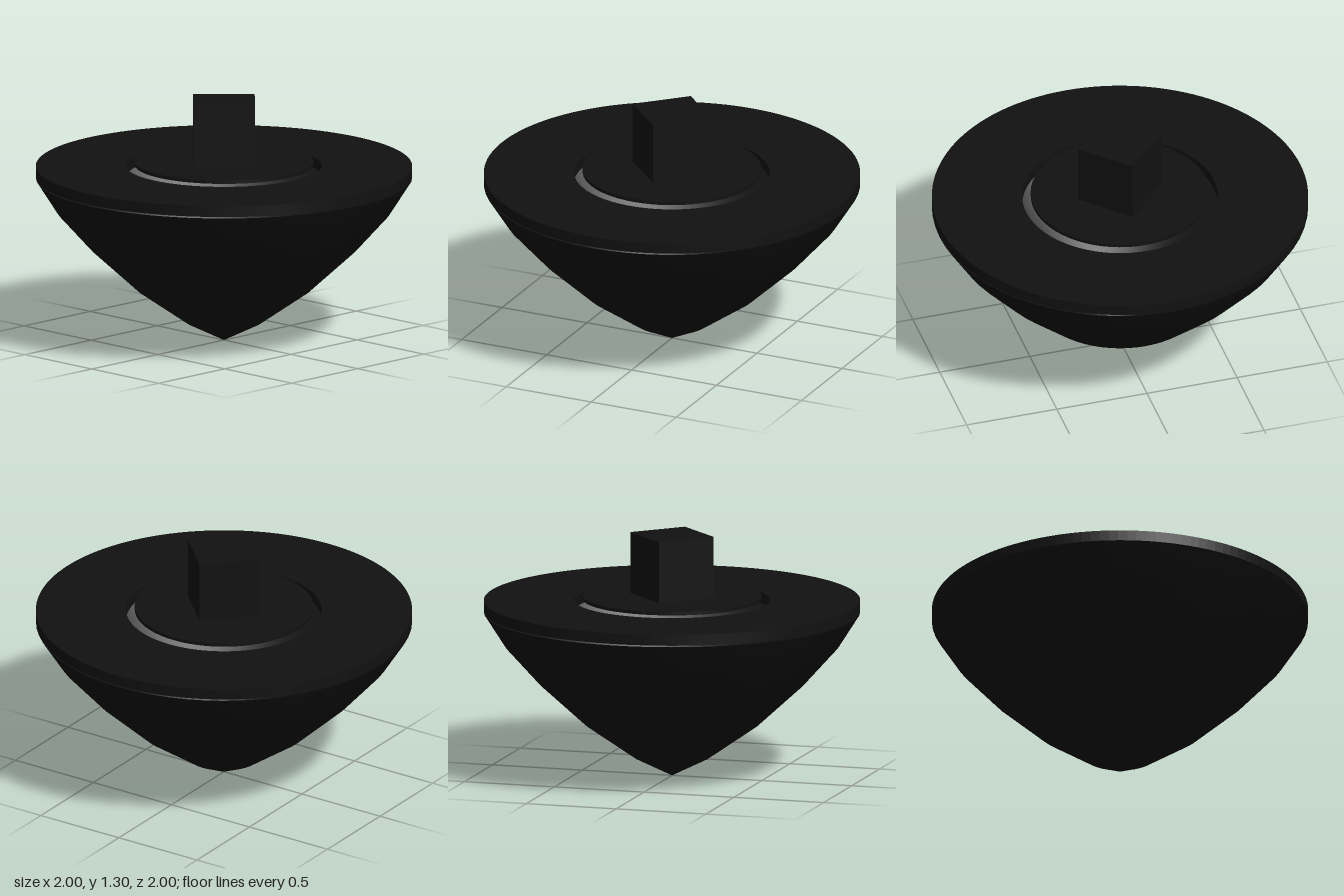
import * as THREE from 'three';

const SIDES = 64;

export function createModel() {
  const model = new THREE.Group();
  const black = new THREE.MeshStandardMaterial({ color: 0x111111, side: THREE.DoubleSide });

  const add = (name, geometry, y = 0) => {
    const mesh = new THREE.Mesh(geometry, black);
    mesh.name = name;
    mesh.position.y = y;
    model.add(mesh);
  };

  // Hollow pointed bowl
  const bowlProfile = [[0, 0], [0.2, 0.1], [0.465, 0.285], [0.71, 0.51], [0.89, 0.71], [1, 0.883]];
  add('bowl', new THREE.LatheGeometry(bowlProfile.map(([r, y]) => new THREE.Vector2(r, y)), SIDES));

  // Flat rim with a round opening, set just above the bowl
  const rim = new THREE.Shape().absarc(0, 0, 1, 0, Math.PI * 2);
  rim.holes.push(new THREE.Path().absarc(0, 0, 0.52, 0, Math.PI * 2, true));
  const rimGeometry = new THREE.ExtrudeGeometry(rim, { depth: 0.058, bevelEnabled: false, curveSegments: SIDES });
  rimGeometry.rotateX(-Math.PI / 2);
  add('rim', rimGeometry, 0.891);

  // Thin disc over the opening
  add('disc', new THREE.CylinderGeometry(0.475, 0.475, 0.018, SIDES), 0.964);

  // Square knob turned so its corners point along x and z
  const side = 0.232 * Math.SQRT2;
  add('knob', new THREE.BoxGeometry(side, 0.33, side).rotateY(Math.PI / 4), 1.138);

  return model;
}
